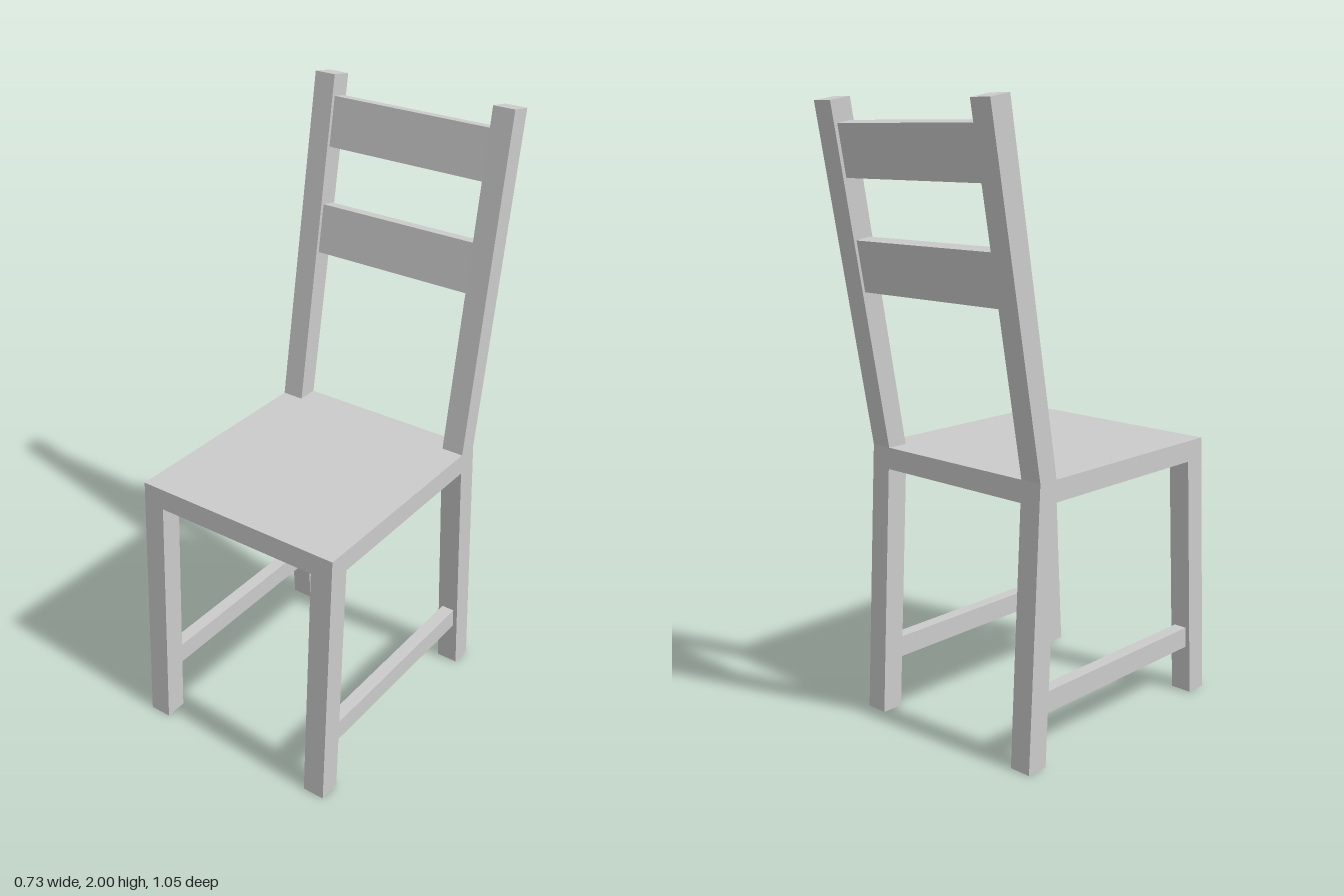
import * as THREE from 'three';

const material = new THREE.MeshStandardMaterial({ color: 0xcccccc, flatShading: true });

// Extrudes a side profile of [z, y] points across x, centred on the given x.
function sidePart(name, profile, width, x = 0) {
  const shape = new THREE.Shape(profile.map(([z, y]) => new THREE.Vector2(z, y)));
  const geometry = new THREE.ExtrudeGeometry(shape, { depth: width, bevelEnabled: false });
  geometry.translate(0, 0, -width / 2).rotateY(-Math.PI / 2);
  const mesh = new THREE.Mesh(geometry, material);
  mesh.name = name;
  mesh.position.x = x;
  return mesh;
}

export function createModel() {
  const chair = new THREE.Group();
  chair.name = 'chair';
  const halfWidth = 0.365, post = 0.075;
  const postX = halfWidth - post / 2;

  // Seat slab, its ends following the slope of the legs
  chair.add(sidePart('seat',
    [[0.479, 0.83], [0.475, 0.9], [-0.325, 0.9], [-0.329, 0.83]], halfWidth * 2));

  for (const [side, s] of [['left', 1], ['right', -1]]) {
    // Splayed front leg, meeting the underside of the seat
    chair.add(sidePart(side + 'FrontLeg',
      [[0.45, 0], [0.525, 0], [0.479, 0.83], [0.404, 0.83]], post, s * postX));

    // Splayed rear leg
    chair.add(sidePart(side + 'RearLeg',
      [[-0.373, 0], [-0.298, 0], [-0.254, 0.83], [-0.329, 0.83]], post, s * postX));

    // Back post, leaning back from the seat
    chair.add(sidePart(side + 'BackPost',
      [[-0.325, 0.9], [-0.254, 0.9], [-0.449, 2], [-0.525, 1.987]], post, s * postX));

    // Low side stretcher between front and rear legs
    chair.add(sidePart(side + 'Stretcher',
      [[-0.29, 0.165], [0.441, 0.165], [0.437, 0.235], [-0.286, 0.235]], 0.045, s * postX));
  }

  // Two slats tilted with the back posts
  for (const [name, drop] of [['upperSlat', 0], ['lowerSlat', 0.35]]) {
    const slat = sidePart(name,
      [[-0.45, 1.93], [-0.5, 1.921], [-0.471, 1.76], [-0.421, 1.769]], 2 * (halfWidth - post));
    slat.position.set(0, -drop, drop * 0.177);
    chair.add(slat);
  }

  return chair;
}
